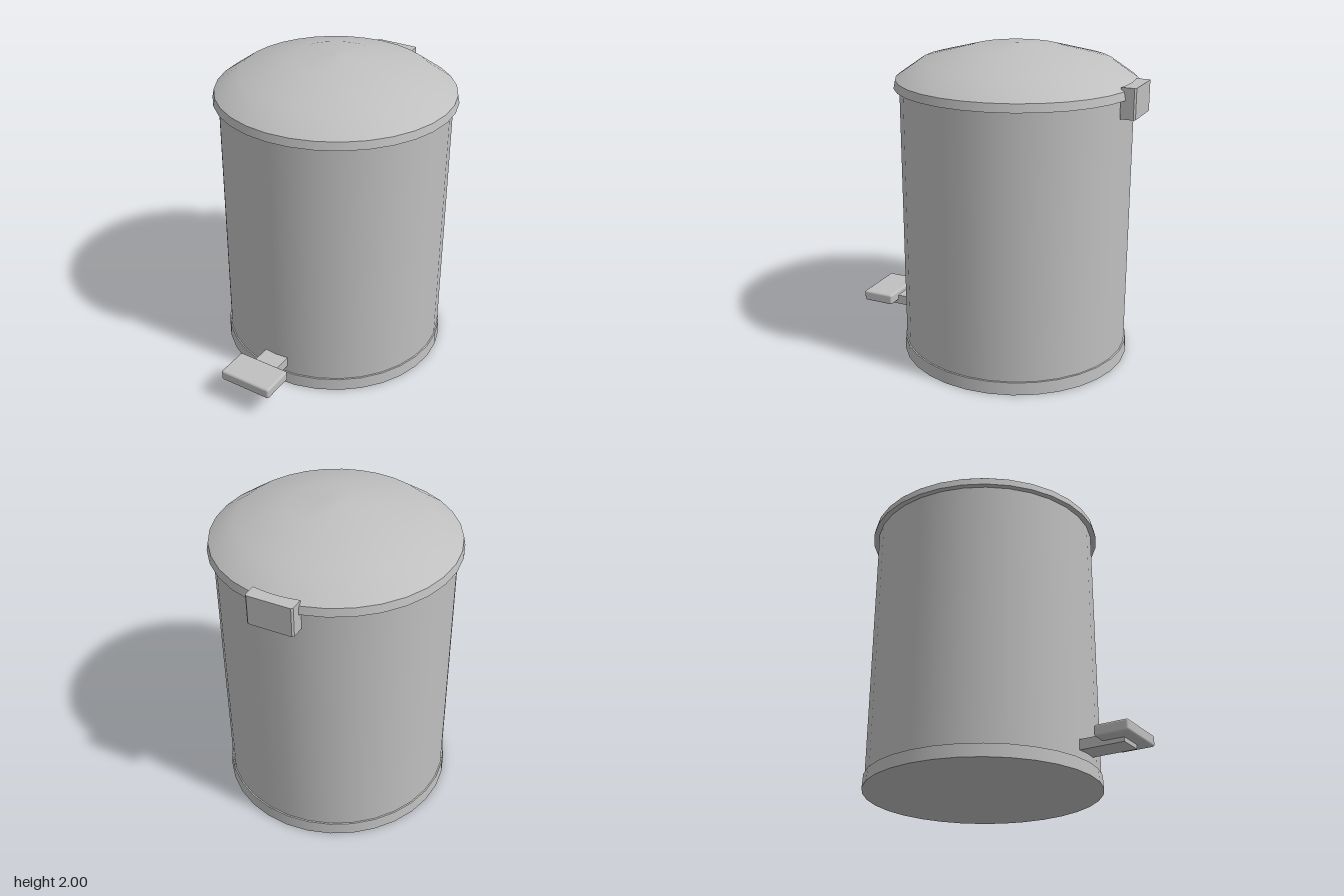
import * as THREE from 'three';
import { RoundedBoxGeometry } from 'three/addons/geometries/RoundedBoxGeometry.js';

export function createModel() {
  const model = new THREE.Group();
  const steel = new THREE.MeshStandardMaterial({ color: 0xbfbfbf });
  steel.name = 'brushed steel';
  const SIDES = 32;
  const AXIS_Z = -0.133; // the drum sits behind the pedal

  function add(name, geometry, x = 0, y = 0, z = 0, parent = model) {
    const mesh = new THREE.Mesh(geometry, steel);
    mesh.name = name;
    mesh.position.set(x, y, z);
    parent.add(mesh);
    return mesh;
  }
  const lathe = (points) =>
    new THREE.LatheGeometry(points.map(([r, y]) => new THREE.Vector2(r, y)), SIDES);

  // Round parts, each profile running upwards
  const drum = new THREE.Group();
  drum.name = 'drum';
  drum.position.z = AXIS_Z;
  model.add(drum);
  const turned = (name, points) => add(name, lathe(points), 0, 0, 0, drum);

  turned('body', [[0.723, 0.07], [0.723, 1.75]]);
  turned('baseBottom', [[0, 0], [0.736, 0]]);
  turned('baseBand', [[0.736, 0], [0.731, 0.08]]);
  turned('baseLedge', [[0.731, 0.08], [0.72, 0.083]]);
  turned('lidUnderside', [[0, 1.74], [0.758, 1.74]]);
  turned('lidRim', [[0.758, 1.74], [0.748, 1.79]]);
  turned('lidDome', [[0.748, 1.79], [0.59, 1.9], [0.28, 1.98], [0, 2]]);

  // Foot pedal and its arm
  add('pedal', new RoundedBoxGeometry(0.355, 0.07, 0.215, 2, 0.014), 0, 0.193, 0.829);
  add('pedalArm', new THREE.BoxGeometry(0.165, 0.064, 0.32), 0, 0.163, 0.705);

  // Hinge block, its inner face curved to fit the drum (shape y points to the back)
  const half = 0.145, back = 0.937, bevel = 0.01, radius = 0.728;
  const angle = Math.asin(half / radius);
  const shape = new THREE.Shape();
  shape.moveTo(half, back - bevel);
  shape.lineTo(half - bevel, back);
  shape.lineTo(-half + bevel, back);
  shape.lineTo(-half, back - bevel);
  shape.absarc(0, -AXIS_Z, radius, Math.PI / 2 + angle, Math.PI / 2 - angle, true);
  const hinge = new THREE.ExtrudeGeometry(shape, { depth: 0.187, bevelEnabled: false, curveSegments: 8 });
  hinge.rotateX(-Math.PI / 2);
  add('hinge', hinge, 0, 1.628, 0);

  return model;
}
